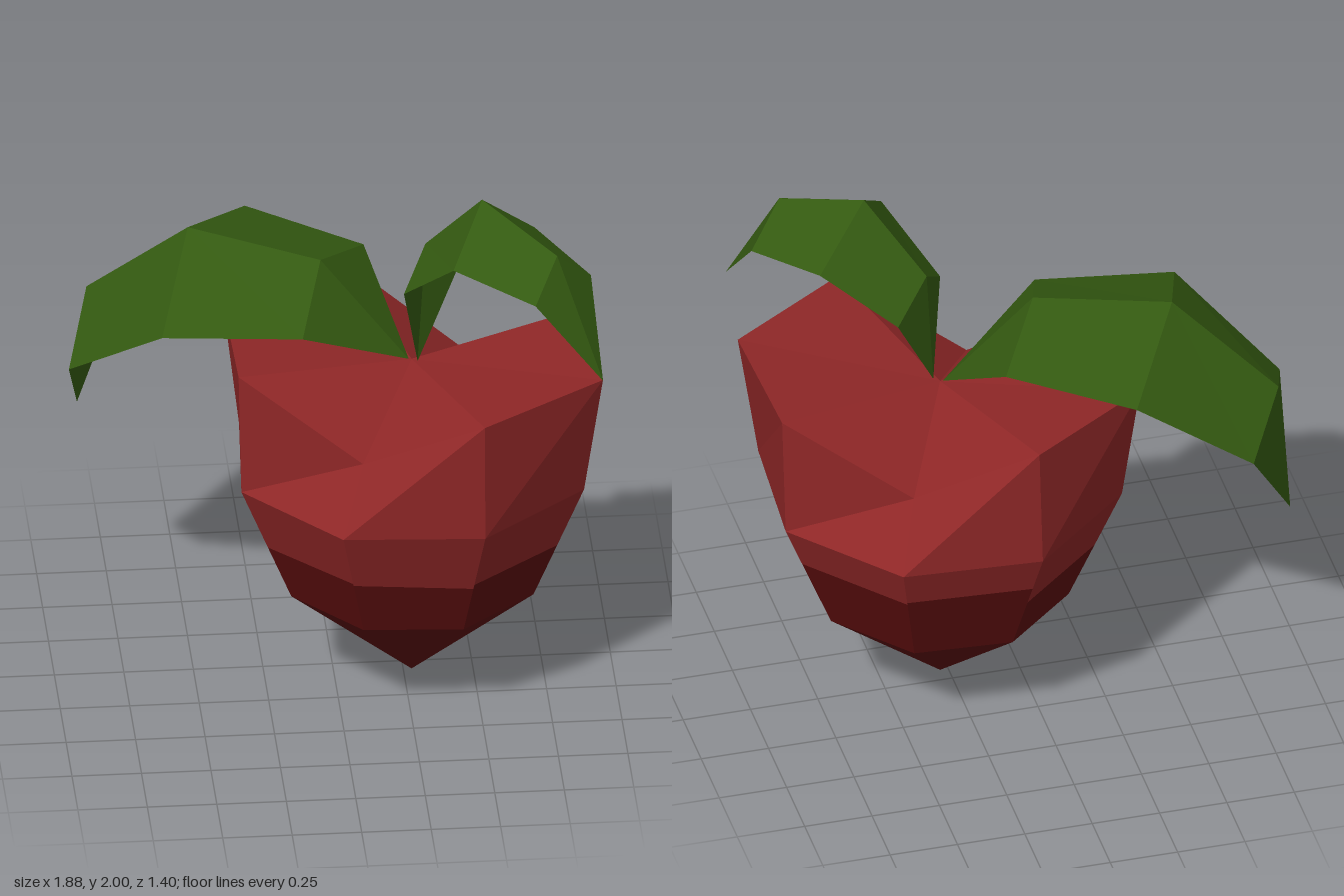
import * as THREE from 'three';

const red = new THREE.MeshStandardMaterial({ color: 0x8f2727 });
red.name = 'berry red';
const darkRed = new THREE.MeshStandardMaterial({ color: 0x5c0e0e });
darkRed.name = 'dark red';
const green = new THREE.MeshStandardMaterial({ color: 0x345a11, side: THREE.DoubleSide });
green.name = 'leaf green';
for (const m of [red, darkRed, green]) m.flatShading = true;

const lerp = (a, b, t) => a.map((v, i) => v + (b[i] - v) * t);

// Faces (3 or 4 corners, counterclockwise) to a faceted mesh
function facetMesh(name, faces, material) {
  const pos = [];
  for (const f of faces)
    for (let k = 1; k < f.length - 1; k++) pos.push(...f[0], ...f[k], ...f[k + 1]);
  const geo = new THREE.BufferGeometry();
  geo.setAttribute('position', new THREE.Float32BufferAttribute(pos, 3));
  geo.computeVertexNormals();
  const mesh = new THREE.Mesh(geo, material);
  mesh.name = name;
  return mesh;
}

// Eight-sided heart-like fruit with two notches in its rim
function createFruit() {
  const cx = 0.28, cz = 0.06, n = 8;
  const ring = (r, y) => Array.from({ length: n }, (_, i) => {
    const a = 0.325 + (i * Math.PI) / 4;
    return [cx + r * Math.sin(a), y, cz + r * Math.cos(a)];
  });
  const low = ring(0.47, 0.4);
  const middle = ring(0.665, 0.87);
  const rim = [
    [0.49, 1.33, 0.7], [0.94, 1.34, 0.4], [0.92, 1.34, -0.14], [0.49, 1.08, -0.36],
    [0.08, 1.34, -0.57], [-0.37, 1.34, -0.28], [-0.36, 1.34, 0.27], [0.07, 1.08, 0.48],
  ];
  const tip = [cx, 0, cz], dip = [cx, 1.27, cz];
  // Height of the colour change at both ends of each side
  const cuts = [[0.63, 0.62], [0.78, 0.69], [0.7, 0.7], [0.71, 0.71],
    [0.63, 0.63], [0.63, 0.63], [0.62, 0.64], [0.63, 0.61]];
  const upper = [], lower = [];
  for (let i = 0; i < n; i++) {
    const j = (i + 1) % n;
    const a = lerp(low[i], middle[i], (cuts[i][0] - 0.4) / 0.47);
    const b = lerp(low[j], middle[j], (cuts[i][1] - 0.4) / 0.47);
    lower.push([tip, low[j], low[i]], [low[i], low[j], b, a]);
    upper.push([a, b, middle[j], middle[i]], [middle[i], middle[j], rim[j], rim[i]],
      [dip, rim[i], rim[j]]);
  }
  const fruit = new THREE.Group();
  fruit.name = 'fruit';
  fruit.add(facetMesh('fruitTop', upper, red), facetMesh('fruitBottom', lower, darkRed));
  return fruit;
}

// Folded leaf: base point, cross-sections [left edge, ridge, right edge], tip point
function createLeaf(name, base, sections, tip) {
  const rows = [[base, base, base], ...sections, [tip, tip, tip]];
  const faces = [];
  for (let r = 0; r < rows.length - 1; r++) {
    for (let k = 0; k < 2; k++) {
      const a = rows[r][k], b = rows[r][k + 1], c = rows[r + 1][k + 1], d = rows[r + 1][k];
      if (a === b) faces.push([a, c, d]);
      else if (c === d) faces.push([a, b, c]);
      else faces.push([a, b, c, d]);
    }
  }
  return facetMesh(name, faces, green);
}

export function createModel() {
  const model = new THREE.Group();
  model.name = 'berry';
  model.add(createFruit());
  model.add(createLeaf('largeLeaf', [0.27, 1.27, 0.06], [
    [[-0.13, 1.49, 0.28], [-0.04, 1.64, -0.03], [0.14, 1.53, -0.33]],
    [[-0.63, 1.48, 0.21], [-0.5, 1.68, -0.24], [-0.26, 1.53, -0.65]],
    [[-0.94, 1.2, -0.09], [-0.85, 1.36, -0.41], [-0.68, 1.25, -0.7]],
  ], [-0.88, 0.86, -0.46]));
  model.add(createLeaf('smallLeaf', [0.3, 1.27, 0.08], [
    [[0.46, 1.6, -0.03], [0.33, 1.74, 0.06], [0.24, 1.62, 0.21]],
    [[0.72, 1.8, 0.08], [0.52, 2, 0.22], [0.4, 1.83, 0.43]],
    [[0.9, 1.75, 0.36], [0.77, 1.89, 0.46], [0.68, 1.77, 0.61]],
  ], [0.92, 1.47, 0.64]));
  return model;
}
